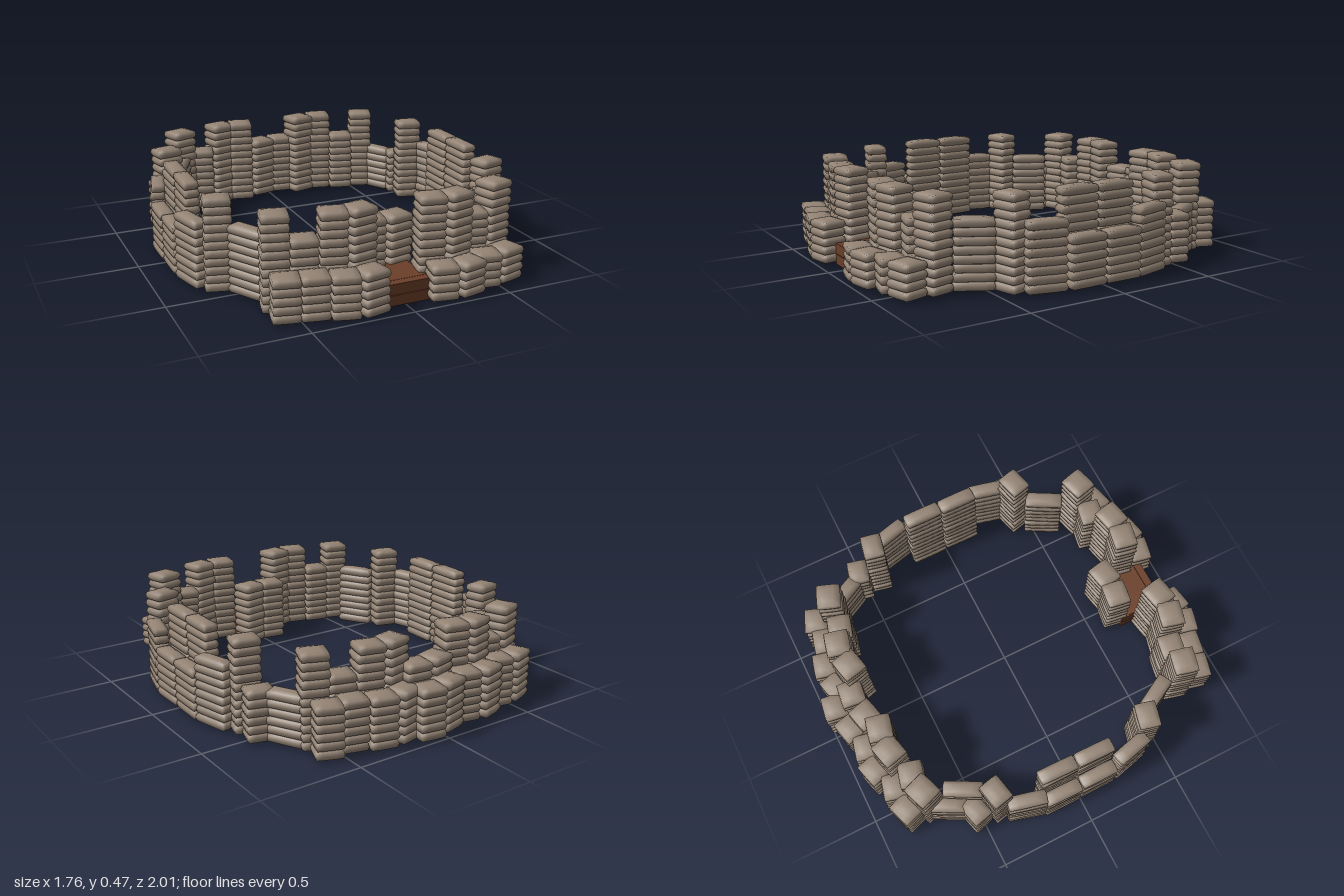
import * as THREE from 'three';
import { mergeVertices } from 'three/addons/utils/BufferGeometryUtils.js';

const PITCH = 0.0415; // height of one layer of bags

// Unit pillow: a box with pinched rims and a bulging belly
function pillowGeometry() {
  const box = new THREE.BoxGeometry(2, 2, 2, 4, 2, 4);
  box.deleteAttribute('normal');
  box.deleteAttribute('uv');
  const geo = mergeVertices(box);
  const p = geo.attributes.position;
  for (let i = 0; i < p.count; i++) {
    const x = p.getX(i), y = p.getY(i), z = p.getZ(i);
    const rim = Math.max(x ** 4, z ** 4);
    const corner = 1 - 0.03 * x * x * z * z;
    const pinch = (1 - 0.08 * y * y) * corner;
    p.setXYZ(i, 0.5 * x * pinch, 0.5 * y * (1 - 0.32 * rim), 0.5 * z * pinch);
  }
  geo.computeVertexNormals();
  return geo;
}

export function createModel() {
  const group = new THREE.Group();
  const canvas = new THREE.MeshStandardMaterial({ color: 0x938374 });
  canvas.name = 'sandbag canvas';
  const wood = new THREE.MeshStandardMaterial({ color: 0x6b3e28 });
  wood.name = 'brown wood';
  const bagGeo = pillowGeometry();

  let seed = 7;
  const rand = () => {
    seed = (seed * 16807) % 2147483647;
    return seed / 2147483647 - 0.5;
  };

  // One column of bags, each turned a little differently
  function stack(name, x, z, yaw, layers, w = 0.135, d = 0.125) {
    const column = new THREE.Group();
    column.name = name;
    for (let i = 0; i < layers; i++) {
      const bag = new THREE.Mesh(bagGeo, canvas);
      bag.name = 'sandbag';
      bag.scale.set(w, 0.052, d);
      bag.position.set(rand() * 0.005, 0.031 + i * PITCH, rand() * 0.005);
      bag.rotation.y = rand() * 0.04;
      column.add(bag);
    }
    column.position.set(x, 0, z);
    column.rotation.y = yaw;
    group.add(column);
  }

  // Back wall, two rows: x, outer z, inner z, yaw, inner layers
  const back = [
    [-0.56, -0.825, -0.72, 0.35, 11], [-0.435, -0.835, -0.735, -0.25, 8],
    [-0.31, -0.885, -0.785, 0.27, 11], [-0.185, -0.88, -0.78, -0.22, 11],
    [-0.055, -0.905, -0.815, 0.25, 8], [0.08, -0.935, -0.83, -0.13, 8],
    [0.18, -0.885, -0.78, 0.25, 11], [0.31, -0.89, -0.785, -0.25, 11],
    [0.435, -0.84, -0.74, -0.25, 8], [0.56, -0.835, -0.725, -0.35, 11],
  ];
  for (const [x, zOut, zIn, yaw, layers] of back) {
    stack('backOuterStack', x, zOut, yaw, 6);
    stack('backInnerStack', x, zIn, yaw, layers);
  }

  // Front wall, two rows on each side of the gateway: x, outer z, inner z, yaw, inner layers
  const front = [
    [-0.56, 0.85, 0.725, -0.25, 11], [-0.435, 0.875, 0.745, -0.2, 8],
    [-0.31, 0.92, 0.79, -0.25, 11], [-0.185, 0.925, 0.79, 0.18, 11],
    [0.18, 0.92, 0.79, -0.2, 11], [0.31, 0.925, 0.79, 0.22, 11],
    [0.435, 0.875, 0.745, -0.2, 8], [0.56, 0.855, 0.725, 0.25, 11],
  ];
  for (const [x, zOut, zIn, yaw, layers] of front) {
    stack('frontOuterStack', x, zOut, yaw, x < 0 ? 5 : 4);
    stack('frontInnerStack', x, zIn, yaw, layers);
  }

  // Pair of stacks behind the gateway
  stack('gatewayStack', -0.05, 0.635, -0.15, 8);
  stack('gatewayStack', 0.08, 0.635, 0.2, 8);

  // Side walls, mirrored
  for (const s of [-1, 1]) {
    for (const z of [-0.1, 0.1]) {
      stack('sideInnerStack', s * 0.765, z, 0, 11, 0.075, 0.2);
      stack('sideOuterStack', s * 0.838, z, 0, 6, 0.075, 0.2);
    }
    stack('sideFrontStack', s * 0.81, 0.3, s * -0.25, 8, 0.075, 0.2);
    stack('sideBackStack', s * 0.81, -0.285, s * 0.25, 8, 0.075, 0.2);
    stack('frontTower', s * 0.72, 0.42, s * 0.25, 11, 0.135, 0.11);
    stack('backTower', s * 0.72, -0.41, s * -0.22, 11, 0.135, 0.11);
    stack('backTowerFoot', s * 0.72, -0.525, s * -0.25, 6, 0.135, 0.11);
    stack('frontDiagonalStack', s * 0.615, 0.55, s * -0.5, 8, 0.08, 0.2);
    stack('backDiagonalStack', s * 0.635, -0.64, s * 0.5, 6, 0.08, 0.2);
  }
  stack('backDiagonalInnerStack', -0.615, -0.54, -0.5, 8, 0.08, 0.2);

  // Hollow wooden step across the gateway
  const step = new THREE.Group();
  step.name = 'gatewayStep';
  const plank = (name, w, h, d, x, y, z) => {
    const m = new THREE.Mesh(new THREE.BoxGeometry(w, h, d), wood);
    m.name = name;
    m.position.set(x, y, z);
    step.add(m);
  };
  for (const y of [0.026, 0.08]) {
    plank('frontPlank', 0.25, 0.051, 0.02, 0, y, 0.9);
    for (const s of [-1, 1]) plank('sidePlank', 0.015, 0.051, 0.23, s * 0.118, y, 0.775);
  }
  plank('topEdgePlank', 0.24, 0.015, 0.041, 0, 0.1, 0.889);
  plank('topPlank', 0.24, 0.015, 0.205, 0, 0.1, 0.764);
  group.add(step);

  return group;
}
